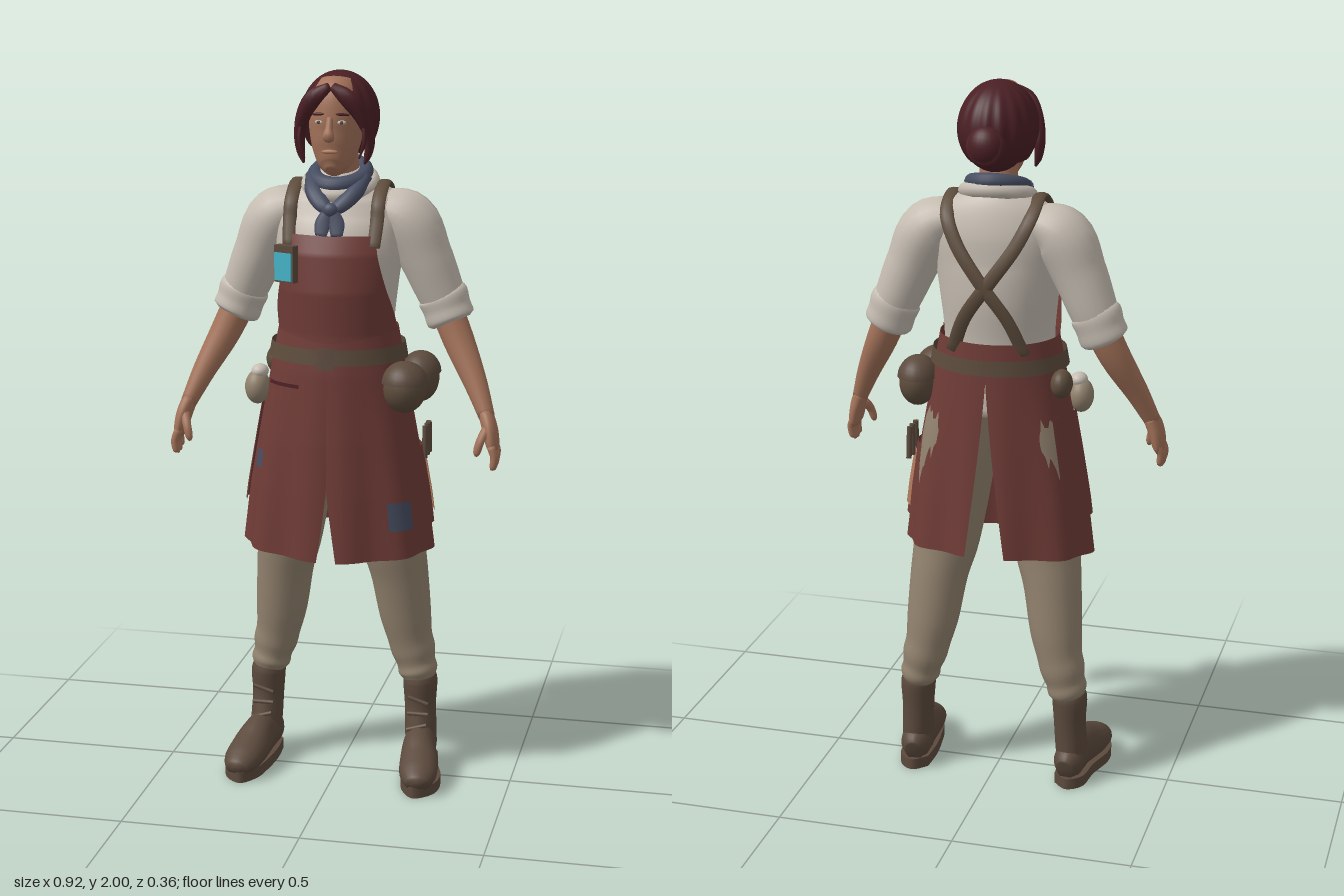
import * as THREE from 'three';
import { ParametricGeometry } from 'three/addons/geometries/ParametricGeometry.js';

const mat = (name, color, open) => {
  const m = new THREE.MeshStandardMaterial({ color });
  m.name = name;
  if (open) m.side = THREE.DoubleSide;
  return m;
};

export function createModel() {
  const root = new THREE.Group();
  root.name = 'workshopWoman';
  const skin = mat('skin', 0xa4735a), hair = mat('hair', 0x4a1f24, true), shirt = mat('shirt', 0xc6bdb2),
    apron = mat('apron', 0x703c37, true), trousers = mat('trousers', 0x93836f), boots = mat('boots', 0x5c4a3d),
    leather = mat('leather', 0x5d4c3c, true), scarf = mat('scarf', 0x474d61, true),
    cyan = mat('screen', 0x45b5c8), tan = mat('toolTan', 0xb07a5c, true);

  const add = (name, geo, m, pos = [0, 0, 0], rot = [0, 0, 0], scale = [1, 1, 1]) => {
    const mesh = new THREE.Mesh(geo, m);
    mesh.name = name;
    mesh.position.set(...pos);
    mesh.rotation.set(...rot);
    mesh.scale.set(...scale);
    root.add(mesh);
    return mesh;
  };
  const both = fn => [1, -1].forEach(s => fn(s, s > 0 ? 'left' : 'right'));
  const ball = (name, m, p, r, rot) => add(name, new THREE.SphereGeometry(1, 24, 16), m, p, rot, r);

  // Closed smooth body through stations [x, y, z, half width, half depth]
  function limb(name, m, stations, s = 1, sides = 20, sub = 5) {
    const path = new THREE.CatmullRomCurve3(stations.map(p => new THREE.Vector3(p[0] * s, p[1], p[2])));
    const size = new THREE.CatmullRomCurve3(stations.map(p => new THREE.Vector3(p[3], p[4] ?? p[3], p[1])));
    const n = (stations.length - 1) * sub, pos = [], idx = [], row = sides + 1;
    for (let i = 0; i <= n; i++) {
      const c = path.getPoint(i / n), r = size.getPoint(i / n), t = path.getTangent(i / n);
      const u = new THREE.Vector3(1, 0, 0).addScaledVector(t, -t.x).normalize();
      const w = new THREE.Vector3().crossVectors(t, u);
      for (let j = 0; j <= sides; j++) {
        const a = (j % sides) / sides * Math.PI * 2;
        const p = c.clone().addScaledVector(u, Math.cos(a) * r.x).addScaledVector(w, Math.sin(a) * r.y);
        pos.push(p.x, p.y, p.z);
        if (i < n && j < sides) {
          const k = i * row + j;
          idx.push(k, k + 1, k + row, k + 1, k + row + 1, k + row);
        }
      }
    }
    const c0 = pos.length / 3, a = path.getPoint(0), b = path.getPoint(1);
    pos.push(a.x, a.y, a.z, b.x, b.y, b.z);
    for (let j = 0; j < sides; j++) idx.push(c0, j + 1, j, c0 + 1, n * row + j, n * row + j + 1);
    const g = new THREE.BufferGeometry();
    g.setAttribute('position', new THREE.Float32BufferAttribute(pos, 3));
    g.setIndex(idx);
    g.computeVertexNormals();
    return add(name, g, m);
  }

  // Rows of [y, half width, half depth, z centre], read by height
  const lookup = (rows, y) => {
    let i = 0;
    while (i < rows.length - 2 && y < rows[i + 1][0]) i++;
    const k = THREE.MathUtils.clamp((rows[i][0] - y) / (rows[i][0] - rows[i + 1][0]), 0, 1);
    return rows[i].map((v, j) => v + (rows[i + 1][j] - v) * k);
  };
  const torsoRows = [[1.74, .05, .05, -.02], [1.7, .1, .078, -.025], [1.66, .165, .098, -.03], [1.6, .185, .118, -.028],
    [1.52, .176, .138, -.012], [1.42, .163, .145, -.004], [1.3, .153, .135, 0], [1.2, .162, .138, 0], [1.1, .16, .135, 0]];
  const skirtRows = [[1.31, .165, .148, 0], [1.2, .186, .155, .003], [1, .222, .162, .003], [.85, .247, .165, .002], [.67, .268, .168, 0]];
  const onSkirt = (th, y, off, out) => {
    const [, rx, rz, zc] = lookup(skirtRows, y);
    const f = off + .008 * Math.max(0, 1.25 - y) / .6 * Math.sin(9 * Math.abs(th));
    return out.set((rx + f) * Math.sin(th), y, (rz + f) * Math.cos(th) + zc);
  };
  const patch = (name, m, t0, t1, y0, y1, off) => add(name, new ParametricGeometry((u, v, o) =>
    onSkirt(t0 + (t1 - t0) * u, y0 + (y1 - y0) * v, off, o), Math.ceil(Math.abs(t1 - t0) * 12) + 2, 8), m);

  // Shirt body
  limb('shirtBody', shirt, torsoRows.map(r => [0, r[0], r[3], r[1], r[2]]), 1, 36);
  // Apron skirt halves, split at front hem and along the back
  both((s, side) => add(side + 'ApronSkirt', new ParametricGeometry((u, v, o) => {
    const y = 1.31 - v * (.64 - .03 * u);
    const t0 = Math.max(0, .87 - y) * .5, t1 = Math.PI - Math.max(0, 1.2 - y) * .42;
    onSkirt(s * (t0 + (t1 - t0) * u), y, 0, o);
  }, 48, 30), apron));
  // Bib, wrapping round to the sides at the waist
  add('apronBib', new ParametricGeometry((u, v, o) => {
    const y = 1.57 - .29 * v, [, rx, rz, zc] = lookup(torsoRows, y);
    const th = (u * 2 - 1) * (.68 + .95 * v ** 1.6);
    o.set((rx + .013) * Math.sin(th), y, (rz + .015) * Math.cos(th) + zc);
  }, 32, 20), apron);
  patch('belt', leather, -Math.PI, Math.PI, 1.225, 1.268, .012);
  patch('buckle', boots, -.12, .12, 1.215, 1.275, .018);
  patch('rightFrontPocket', apron, -1.05, -.4, .91, 1.16, .006);
  patch('rightPocketHem', hair, -1.05, -.4, 1.155, 1.165, .008);
  patch('rightSidePocket', apron, -2.2, -1.4, .8, 1.1, .008);
  patch('leftSidePocket', apron, 1.35, 2.05, .76, .98, .008);
  patch('rightClothPatch', scarf, -1.12, -.9, .915, .965, .009);
  patch('leftClothPatch', scarf, .7, 1.05, .76, .84, .006);
  patch('toolHolder', tan, 1.56, 1.88, .79, .96, .013);
  [-.07, -.04, -.005].forEach((z, i) => add('toolHandle' + i, new THREE.CylinderGeometry(.008, .008, .09, 8), boots,
    [.243, .985, z], [.12 - i * .1, 0, 0]));

  // Straps over the shoulders, crossing on the back
  const strapRoute = [[.115, 1.54, 1], [.12, 1.61, 1], [.12, 1.655, 1], [.12, 1.7, 0], [.115, 1.655, -1], [.08, 1.58, -1],
    [.01, 1.48, -1], [-.06, 1.38, -1], [-.1, 1.28, -1]];
  both((s, side) => limb(side + 'Strap', leather, strapRoute.map(([x, y, f]) => {
    const [, rx, rz, zc] = lookup(torsoRows, y);
    const z = f ? zc + f * (rz + .012) * Math.sqrt(1 - (x / (rx + .012)) ** 2) : -.03;
    return [x, y, z, .019, .008];
  }), s, 10));
  // Small device clipped to the strap
  add('deviceCase', new THREE.BoxGeometry(.062, .1, .024), boots, [-.115, 1.495, .137], [0, -.4, 0]);
  add('deviceScreen', new THREE.BoxGeometry(.054, .075, .03), cyan, [-.116, 1.488, .139], [0, -.4, 0]);

  // Belt pouches
  [[.2, 1.155, .08, .06], [.222, 1.16, -.045, .052]].forEach(([x, y, z, r], i) => {
    ball('leftPouch' + i, leather, [x, y, z], [r, .068, .064]);
    add('leftPouchFlap' + i, new THREE.SphereGeometry(1, 24, 8, 0, Math.PI * 2, 0, 1.5), boots,
      [x, y + .012, z], [0, 0, 0], [r + .005, .062, .068]);
  });
  ball('rightClothBag', trousers, [-.222, 1.13, .04], [.035, .048, .042]);
  ball('rightBagNeck', shirt, [-.215, 1.175, .04], [.024, .02, .028]);
  ball('rightBackPouch', leather, [-.19, 1.19, -.06], [.03, .04, .04]);

  both((s, side) => {
    // Arms
    limb(side + 'Sleeve', shirt, [[.11, 1.635, -.04, .05, .075], [.18, 1.6, -.042, .078, .09], [.232, 1.5, -.045, .073, .08],
      [.266, 1.42, -.05, .067, .07], [.287, 1.37, -.052, .062, .062]], s);
    limb(side + 'RolledCuff', shirt, [[.273, 1.405, -.05, .058, .058], [.28, 1.39, -.051, .07, .066], [.292, 1.358, -.051, .067, .065],
      [.304, 1.327, -.049, .067, .064], [.308, 1.318, -.048, .054, .05]], s);
    limb(side + 'Forearm', skin, [[.285, 1.37, -.05, .046], [.33, 1.27, -.03, .043], [.385, 1.16, .01, .032], [.422, 1.075, .042, .022, .027]], s);
    limb(side + 'Palm', skin, [[.416, 1.09, .037, .021, .027], [.432, 1.045, .05, .021, .04], [.441, 1.0, .056, .017, .042], [.443, .985, .057, .01, .036]], s);
    for (let i = 0; i < 4; i++) {
      const z = .026 + i * .021, d = [.012, .002, 0, .006][i];
      limb(side + 'Finger' + i, skin, [[.44, 1.005, z, .011], [.45, .97 + d, z + .004, .01], [.446, .942 + d, z + .006, .008], [.443, .936 + d, z + .006, .003]], s, 8, 3);
    }
    limb(side + 'Thumb', skin, [[.426, 1.05, .07, .014], [.412, 1.02, .095, .012], [.404, .99, .102, .01], [.402, .98, .102, .004]], s, 8, 3);

    // Trouser leg with gathers above the boot
    limb(side + 'TrouserLeg', trousers, [[.085, 1.16, -.01, .09, .115], [.11, 1.0, -.012, .105, .115], [.147, .7, -.03, .093, .094],
      [.165, .6, -.045, .082, .086], [.182, .46, -.063, .073, .076], [.194, .39, -.07, .064, .068], [.204, .35, -.073, .063, .066],
      [.212, .315, -.073, .055, .06], [.218, .29, -.072, .056, .062], [.222, .268, -.07, .044, .052]], s, 24);

    // Boot
    limb(side + 'BootShaft', boots, [[.223, .278, -.07, .046, .055], [.225, .26, -.07, .049, .058], [.226, .19, -.07, .045, .053],
      [.229, .12, -.062, .045, .06], [.232, .05, -.055, .043, .066]], s);
    limb(side + 'BootFoot', boots, [[.225, .055, -.127, .025, .035], [.228, .066, -.1, .042, .052], [.235, .078, -.01, .047, .066],
      [.248, .062, .07, .055, .052], [.256, .05, .13, .052, .04], [.26, .04, .17, .034, .026], [.261, .036, .18, .01, .01]], s);
    const sole = new THREE.Shape();
    sole.moveTo(.19 * s, .1);
    sole.splineThru([[.187, .02], [.195, -.06], [.21, -.13], [.25, -.18], [.3, -.14], [.31, -.07], [.285, .02], [.272, .1], [.23, .132], [.19, .1]]
      .map(p => new THREE.Vector2(p[0] * s, p[1])));
    add(side + 'BootSole', new THREE.ExtrudeGeometry(sole, { depth: .032, bevelEnabled: false, curveSegments: 36 }), boots, [0, 0, 0], [-Math.PI / 2, 0, 0]);
    [[.215, -.016], [.175, -.014], [.14, .002]].forEach(([y, z], i) =>
      add(side + 'Lace' + i, new THREE.CylinderGeometry(.006, .006, .06, 8), leather, [.228 * s, y, z], [0, 0, Math.PI / 2 + (i - 1) * .3]));
  });

  // Neck, collar and neckerchief
  limb('neck', skin, [[0, 1.66, -.03, .058], [0, 1.72, -.02, .052], [0, 1.8, .0, .052]]);
  add('shirtCollar', new THREE.TorusGeometry(.086, .022, 10, 32), shirt, [0, 1.698, -.02], [Math.PI / 2 + .3, 0, 0]);
  add('neckerchiefRoll', new THREE.TorusGeometry(.068, .022, 12, 32), scarf, [0, 1.722, -.02], [Math.PI / 2 + .3, 0, 0], [1, 1.15, 1]);
  both((s, side) => {
    limb(side + 'NeckerchiefFold', scarf, [[.075, 1.715, .0, .018, .02], [.055, 1.68, .06, .024, .02], [.025, 1.65, .093, .022, .016], [0, 1.632, .105, .012, .012]], s, 12);
    limb(side + 'NeckerchiefTail', scarf, [[.004, 1.64, .106, .012, .01], [.018, 1.605, .116, .022, .008], [.022, 1.572, .128, .016, .005]], s, 12);
  });
  ball('neckerchiefKnot', scarf, [0, 1.638, .108], [.022, .02, .016]);

  // Head and face
  limb('head', skin, [[0, 1.738, .085, .018, .02], [0, 1.752, .073, .038, .042], [0, 1.785, .052, .058, .066], [0, 1.83, .035, .07, .082],
    [0, 1.88, .024, .075, .092], [0, 1.93, .014, .07, .09], [0, 1.97, .0, .05, .06]], 1, 28);
  limb('nose', skin, [[0, 1.885, .112, .008, .008], [0, 1.855, .124, .011, .012], [0, 1.835, .131, .016, .013], [0, 1.826, .122, .012, .008]], 1, 12);
  ball('mouth', tan, [0, 1.795, .116], [.022, .006, .006]);
  both((s, side) => {
    ball(side + 'Eye', shirt, [.031 * s, 1.872, .107], [.012, .0055, .005], [0, .3 * s, 0]);
    ball(side + 'Iris', boots, [.031 * s, 1.872, .1115], [.005, .005, .002]);
    ball(side + 'Brow', hair, [.033 * s, 1.893, .107], [.019, .004, .005], [0, .35 * s, -.08 * s]);
  });

  // Swept-back hair with shallow strands, front locks and a bun
  add('hairCap', new ParametricGeometry((u, v, o) => {
    const az = u * Math.PI * 2, front = (Math.cos(az) + 1) / 2;
    const th = v * (2.3 - 1.28 * THREE.MathUtils.smoothstep(front, .45, .95));
    const r = 1 + .018 * Math.sin(th) * Math.cos(16 * az);
    o.set(.106 * r * Math.sin(th) * Math.sin(az), 1.875 + .125 * Math.cos(th), -.015 + .132 * r * Math.sin(th) * Math.cos(az));
  }, 96, 24), hair);
  ball('hairUnderside', hair, [0, 1.86, -.045], [.09, .1, .088]);
  both((s, side) => {
    limb(side + 'FrontLock', hair, [[.004, 1.965, .096, .012, .012], [.045, 1.935, .1, .024, .016], [.08, 1.885, .078, .02, .024],
      [.096, 1.83, .055, .014, .026], [.092, 1.785, .055, .011, .015], [.083, 1.758, .062, .003, .004]], s, 12);
    limb(side + 'LooseStrand', hair, [[.085, 1.87, .085, .006, .006], [.088, 1.82, .09, .006, .008], [.074, 1.775, .09, .002, .002]], s, 8);
  });
  ball('bun', hair, [0, 1.845, -.132], [.053, .056, .048]);
  add('bunTwist', new THREE.TorusGeometry(.034, .02, 10, 24), hair, [0, 1.845, -.143], [.15, 0, 0]);

  return root;
}
